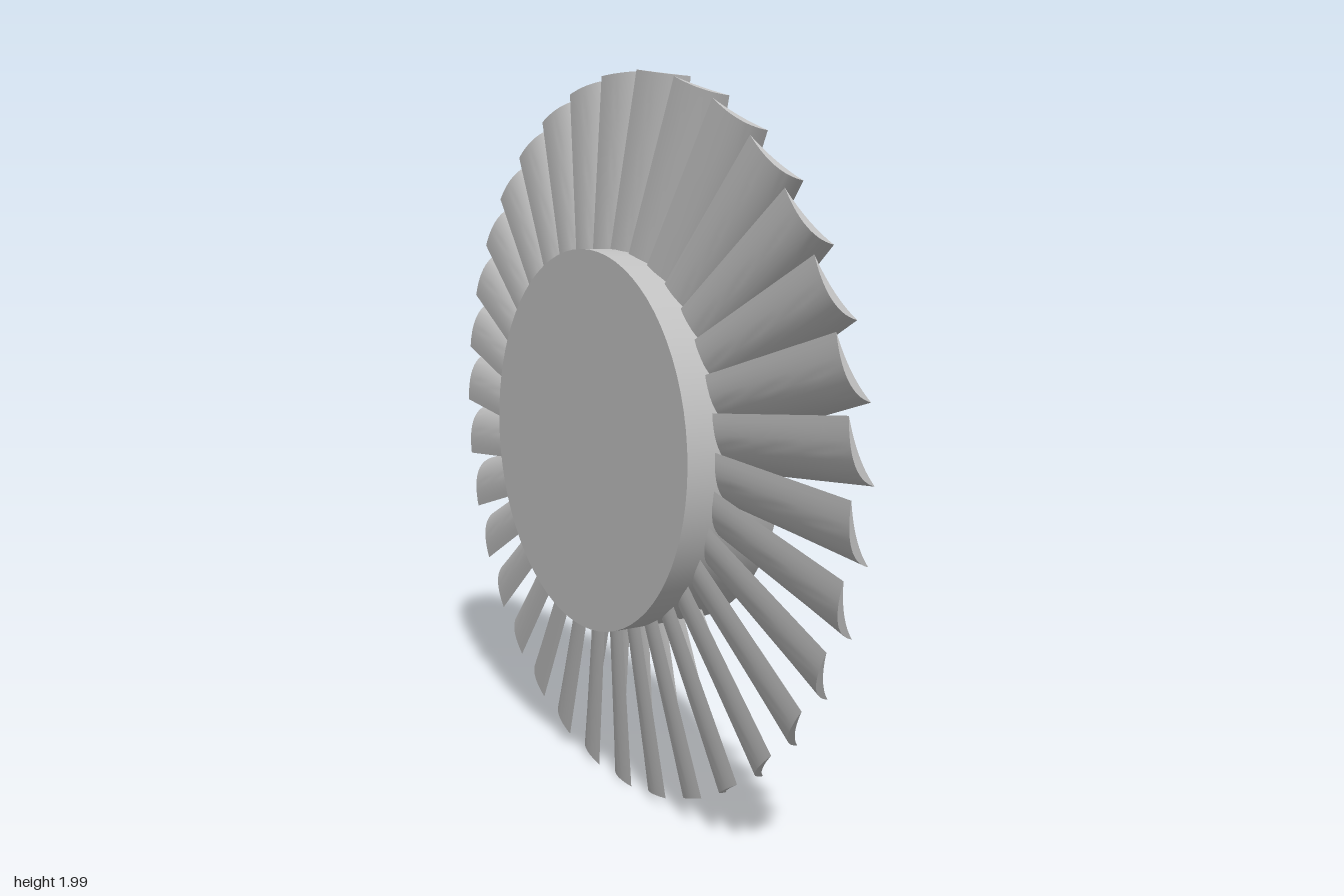
import * as THREE from 'three';
import { toCreasedNormals } from 'three/addons/utils/BufferGeometryUtils.js';

const BLADES = 34, ROOT = 0.5, TIP = 0.997, HUB_R = 0.527, HUB_W = 0.29;

// Point on the blade section at t = 0..1 along the chord, bowed sideways by sag.
function sectionPoint(t, sag) {
  const bow = 4 * sag * t * (1 - t);
  return new THREE.Vector2(-0.08 + 0.16 * t + 0.6 * bow, -0.064 + 0.127 * t - 0.8 * bow);
}

// Crescent section extruded outward, flattening towards the tip.
function bladeGeometry() {
  const n = 14, points = [];
  for (let i = 0; i <= n; i++) points.push(sectionPoint(i / n, 0.05));
  for (let i = n - 1; i > 0; i--) points.push(sectionPoint(i / n, 0.018));
  const geometry = new THREE.ExtrudeGeometry(new THREE.Shape(points), {
    depth: TIP - ROOT, steps: 6, bevelEnabled: false,
  });
  const p = geometry.attributes.position;
  for (let i = 0; i < p.count; i++) {
    const along = p.getX(i), axial = p.getY(i), out = p.getZ(i);
    const taper = THREE.MathUtils.lerp(1, 0.52, out / (TIP - ROOT));
    p.setXYZ(i, axial * taper, ROOT + out, along);
  }
  return toCreasedNormals(geometry, 0.6);
}

export function createModel() {
  const metal = new THREE.MeshStandardMaterial({ color: 0xc0c0c0 });
  metal.name = 'grey metal';
  const model = new THREE.Group();
  model.name = 'turbineWheel';

  // Solid hub disc, axis along x
  const hub = new THREE.Mesh(new THREE.CylinderGeometry(HUB_R, HUB_R, HUB_W, 72), metal);
  hub.name = 'hub';
  hub.rotation.z = Math.PI / 2;
  hub.position.y = 1;
  model.add(hub);

  // Ring of blades
  const ring = new THREE.Group();
  ring.name = 'bladeRing';
  ring.position.y = 1;
  const geometry = bladeGeometry();
  for (let i = 0; i < BLADES; i++) {
    const blade = new THREE.Mesh(geometry, metal);
    blade.name = 'blade';
    blade.rotation.x = (i / BLADES) * Math.PI * 2;
    ring.add(blade);
  }
  model.add(ring);
  return model;
}
